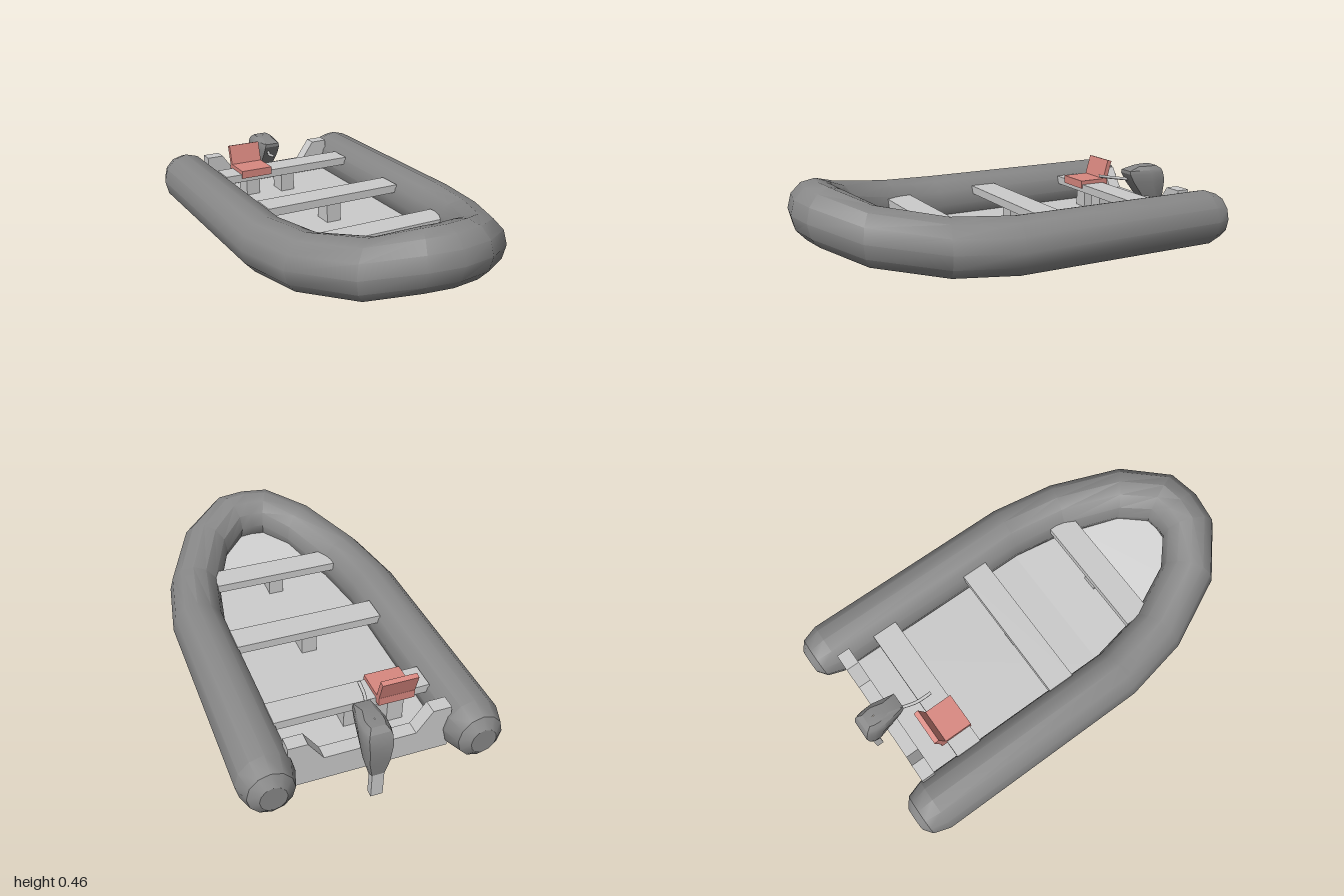
import * as THREE from 'three';
import { toCreasedNormals } from 'three/addons/utils/BufferGeometryUtils.js';

const material = (color) => new THREE.MeshStandardMaterial({ color });
const grey = material(0xcccccc);
const rubber = material(0x888888);
const red = material(0xd98880);

function add(parent, name, geometry, mat = grey) {
  const mesh = new THREE.Mesh(geometry, mat);
  mesh.name = name;
  parent.add(mesh);
  return mesh;
}

// Box given by its limits on each axis
function box(x0, x1, y0, y1, z0, z1) {
  return new THREE.BoxGeometry(x1 - x0, y1 - y0, z1 - z0)
    .translate((x0 + x1) / 2, (y0 + y1) / 2, (z0 + z1) / 2);
}

const mirror = (points) => [...points, ...points.slice().reverse().map(([x, y]) => [-x, y])];
const shapeOf = (points) => new THREE.Shape(points.map(([x, y]) => new THREE.Vector2(x, y)));

// Skins a row of closed rings that share a point count
function skin(rings, crease) {
  const n = rings[0].length;
  const index = [];
  for (let i = 0; i < rings.length - 1; i++) {
    for (let j = 0; j < n; j++) {
      const a = i * n + j, b = i * n + (j + 1) % n;
      index.push(a, b, a + n, b, b + n, a + n);
    }
  }
  const geometry = new THREE.BufferGeometry();
  geometry.setAttribute('position', new THREE.Float32BufferAttribute(rings.flat(2), 3));
  geometry.setIndex(index);
  return toCreasedNormals(geometry, crease);
}

// Inflated collar: x, y, z of the centre line and the scale of the ring
function collarGeometry() {
  const half = [
    [0.458, 0.191, -1, 0.001], [0.458, 0.191, -1, 0.46], [0.458, 0.191, -0.968, 0.8],
    [0.458, 0.191, -0.89, 1], [0.458, 0.191, 0.15, 1], [0.405, 0.208, 0.437, 1],
    [0.27, 0.262, 0.725, 1], [0.108, 0.319, 0.857, 1],
  ];
  const path = [...half, [0, 0.321, 0.872, 1],
    ...half.slice().reverse().map(([x, y, z, s]) => [-x, y, z, s])];
  const direction = (p, q) => new THREE.Vector2(q[0] - p[0], q[2] - p[2]).normalize();
  const rings = path.map((p, i) => {
    const before = path[Math.max(i - 1, 0)], after = path[Math.min(i + 1, path.length - 1)];
    const t = direction(before, p).add(direction(p, after)).normalize();
    return Array.from({ length: 12 }, (_, j) => {
      const a = j / 12 * Math.PI * 2;
      const out = Math.cos(a) * 0.127 * p[3], up = Math.sin(a) * 0.135 * p[3];
      return [p[0] + t.y * out, p[1] + up, p[2] - t.x * out];
    });
  });
  return skin(rings, 0.56);
}

// Floor panel from an (x, z) outline; it rises towards the bow
function floorGeometry(outline) {
  const geometry = new THREE.ExtrudeGeometry(shapeOf(outline), { depth: 0.05, bevelEnabled: false })
    .rotateX(Math.PI / 2).translate(0, 0.14, 0);
  const p = geometry.attributes.position;
  for (let i = 0; i < p.count; i++) {
    const z = p.getZ(i);
    const rise = Math.max(0, z - 0.13) * 0.06 + Math.max(0, z - 0.45) * 0.29;
    p.setY(i, p.getY(i) + rise);
  }
  geometry.computeVertexNormals();
  return geometry;
}

// Motor cowl: y, half width, rear z and front z of each level
function cowlGeometry() {
  const levels = [
    [0.125, 0.001, -0.94, -0.94], [0.125, 0.035, -0.966, -0.915], [0.2, 0.055, -0.975, -0.86],
    [0.29, 0.064, -0.98, -0.79], [0.335, 0.064, -0.968, -0.765], [0.352, 0.058, -0.96, -0.765],
    [0.37, 0.04, -0.935, -0.83], [0.373, 0.001, -0.9, -0.89],
  ];
  const section = mirror([[0.65, 1], [1, 0.45], [0.95, 0.2], [0.8, 0]]);
  return skin(levels.map(([y, w, rear, front]) =>
    section.map(([k, t]) => [k * w, y, rear + (front - rear) * t])), 0.5);
}

export function createModel() {
  const model = new THREE.Group();
  model.name = 'inflatableBoat';

  add(model, 'collar', collarGeometry(), rubber);

  // Floor panels between stations, from stern to bow
  const stations = [[0.37, -0.83], [0.37, 0.13], [0.315, 0.45], [0.21, 0.65], [0.07, 0.775]];
  [['mainFloor', 0, 2], ['foreFloor', 1, 3], ['bowFloor', 2, 5]].forEach(([name, from, to]) =>
    add(model, name, floorGeometry(mirror(stations.slice(from, to)))));

  // Transom with a low middle for the motor
  const transom = shapeOf(mirror([[0.36, 0.09], [0.36, 0.31], [0.275, 0.31], [0.205, 0.21]]));
  add(model, 'transom', new THREE.ExtrudeGeometry(transom, { depth: 0.065, bevelEnabled: false })
    .translate(0, 0, -0.88));

  // Benches, each on a centre post
  [['rear', -0.69, -0.565, 0.355], ['middle', -0.17, -0.04, 0.355], ['front', 0.325, 0.455, 0.31]]
    .forEach(([place, z0, z1, w]) => {
      const z = (z0 + z1) / 2;
      add(model, place + 'Bench', box(-w, w, 0.235, 0.275, z0, z1));
      add(model, place + 'BenchPost', box(-0.037, 0.037, 0.13, 0.24, z - 0.05, z + 0.05));
    });

  // Helm chair
  const chair = new THREE.Group();
  chair.name = 'chair';
  model.add(chair);
  add(chair, 'chairSeat', box(-0.27, -0.103, 0.255, 0.295, -0.72, -0.557), red);
  const back = add(chair, 'chairBack', box(-0.0835, 0.0835, 0, 0.115, -0.012, 0.012), red);
  back.position.set(-0.1865, 0.278, -0.702);
  back.rotation.x = -0.27;
  add(chair, 'chairPost', box(-0.225, -0.15, 0.13, 0.275, -0.71, -0.61));

  // Outboard motor
  const motor = new THREE.Group();
  motor.name = 'motor';
  model.add(motor);
  add(motor, 'motorCowl', cowlGeometry(), rubber);
  add(motor, 'motorLeg', box(-0.027, 0.027, 0, 0.15, -0.966, -0.932));
  const tiller = new THREE.CatmullRomCurve3([[-0.015, 0.3, -0.79], [-0.045, 0.312, -0.7], [-0.05, 0.326, -0.625]]
    .map((v) => new THREE.Vector3(...v)));
  add(motor, 'tiller', new THREE.TubeGeometry(tiller, 6, 0.008, 6));
  return model;
}
